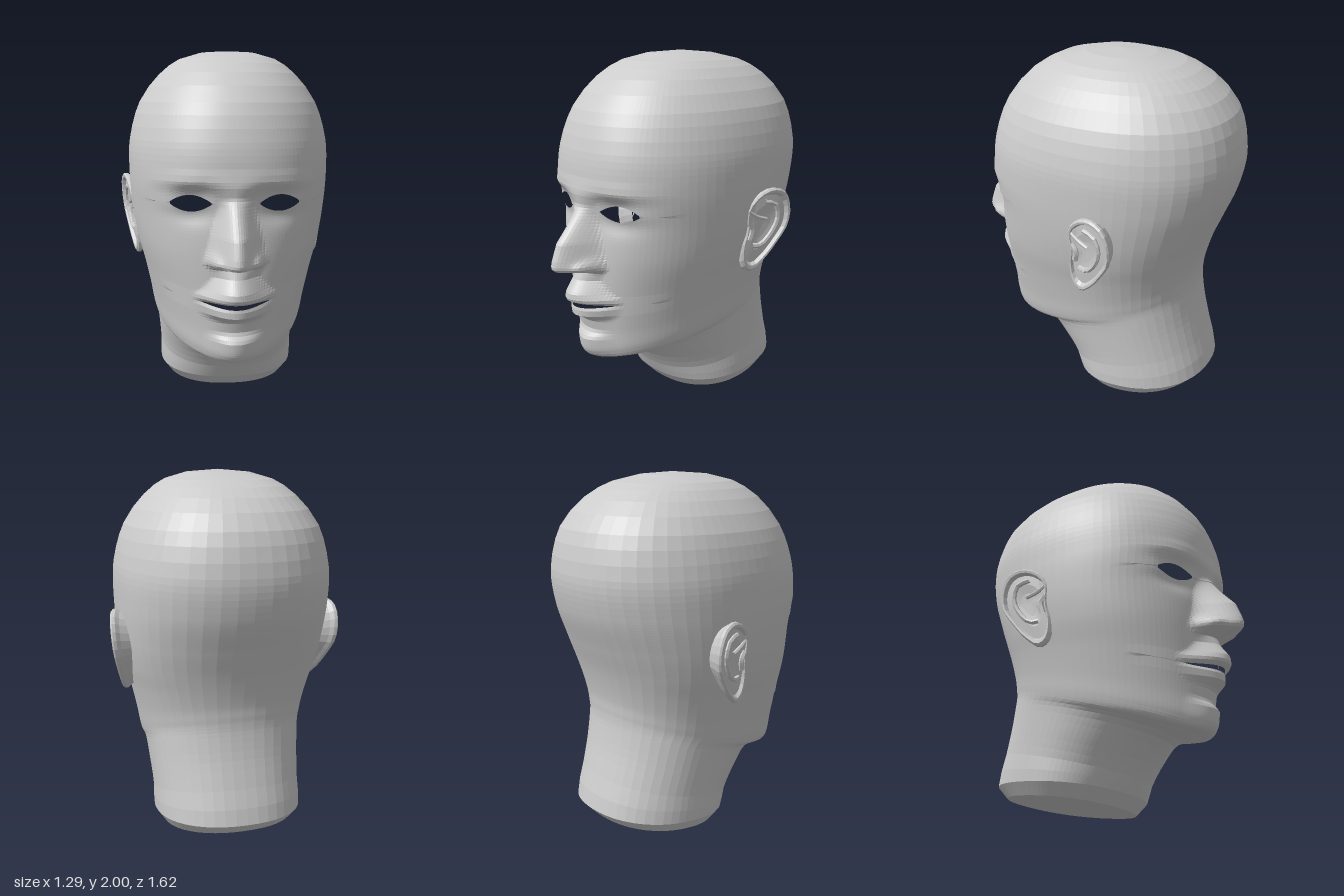
import * as THREE from 'three';

const material = () => new THREE.MeshStandardMaterial({ color: 0xcccccc, flatShading: true });
const clamp = THREE.MathUtils.clamp;
const bump = (u, v) => Math.exp(-u * u - v * v);

// Skin a list of closed rings; triangles with all corners marked open are left out
function skin(rings, flip = false) {
  const n = rings[0].length, pts = rings.flat(), index = [];
  const tri = (a, b, c) => {
    if (!(pts[a].open && pts[b].open && pts[c].open)) index.push(a, flip ? c : b, flip ? b : c);
  };
  for (let i = 0; i < rings.length - 1; i++) {
    for (let j = 0; j < n; j++) {
      const a = i * n + j, b = i * n + (j + 1) % n;
      tri(a, a + n, b);
      tri(b, a + n, b + n);
    }
  }
  const geo = new THREE.BufferGeometry().setFromPoints(pts);
  geo.setIndex(index);
  geo.computeVertexNormals();
  return geo;
}

// Head rings: front y, front z, back y, back z, half width, z of widest point, squareness of the front
const RINGS = [
  [2.0, -0.12, 2.0, -0.12, 0, -0.12, 2.2],
  [1.985, 0.08, 1.985, -0.3, 0.17, -0.12, 2.2],
  [1.95, 0.23, 1.95, -0.46, 0.285, -0.13, 2.2],
  [1.86, 0.39, 1.87, -0.62, 0.4, -0.14, 2.2],
  [1.7, 0.53, 1.72, -0.755, 0.515, -0.15, 2.2],
  [1.5, 0.605, 1.5, -0.81, 0.575, -0.15, 2.25],
  [1.3, 0.622, 1.3, -0.785, 0.58, -0.15, 2.3],
  [1.1, 0.59, 1.11, -0.715, 0.565, -0.15, 2.3],
  [0.9, 0.59, 0.98, -0.665, 0.537, -0.15, 2.25],
  [0.7, 0.585, 0.88, -0.635, 0.5, -0.15, 2.1],
  [0.5, 0.575, 0.79, -0.615, 0.47, -0.15, 1.95],
  [0.37, 0.575, 0.73, -0.61, 0.455, -0.15, 1.85],
  [0.325, 0.53, 0.69, -0.608, 0.445, -0.16, 1.85],
  [0.36, 0.33, 0.63, -0.612, 0.432, -0.2, 2.1],
  [0.27, 0.21, 0.5, -0.635, 0.42, -0.24, 2.2],
  [0.15, 0.12, 0.35, -0.675, 0.41, -0.28, 2.2],
  [0.07, 0.075, 0.165, -0.725, 0.41, -0.3, 2.3],
  [0.005, 0.01, 0.1, -0.665, 0.365, -0.31, 2.3],
  [0.045, -0.32, 0.045, -0.32, 0, -0.32, 2.3],
];
// Rows in each span between rings: fine over the face, coarse elsewhere
const ROWS = [1, 1, 2, 2, 3, 6, 14, 14, 14, 14, 8, 4, 3, 3, 3, 2, 1, 1];
const BACK_SQUARENESS = 2.25;

// Midline of the face: height, forward relief, half width of the relief
const MIDLINE = [
  [1.36, 0, 0.2], [1.27, 0.015, 0.18], [1.21, 0.015, 0.1], [1.17, 0.05, 0.1],
  [1.02, 0.18, 0.14], [0.93, 0.21, 0.16], [0.89, 0.218, 0.175], [0.868, 0.195, 0.175],
  [0.848, 0.05, 0.15], [0.8, 0.07, 0.13], [0.73, 0.12, 0.19], [0.69, 0.125, 0.24],
  [0.672, 0.1, 0.24], [0.657, 0.03, 0.22], [0.642, 0.085, 0.23], [0.595, 0.085, 0.21],
  [0.56, 0.02, 0.18], [0.49, 0.005, 0.17], [0.45, 0.045, 0.18], [0.36, 0.03, 0.18], [0.31, 0, 0.17],
];

// Almond openings: middle row, rows affected, centre of |x|, half width, half height
const OPENINGS = [[23, 7, 0.235, 0.115, 0.044], [60, 4, 0, 0.19, 0.012]];
const ROW_STEP = 0.2 / 14;

function faceRelief(x, y) {
  const ax = Math.abs(x);
  let d = 0;
  for (let i = 0; i < MIDLINE.length - 1; i++) {
    const [y0, d0, w0] = MIDLINE[i], [y1, d1, w1] = MIDLINE[i + 1];
    if (y > y0 || y < y1) continue;
    const t = (y0 - y) / (y0 - y1), u = ax / (w0 + (w1 - w0) * t);
    if (u < 1) d = (d0 + (d1 - d0) * t) * (1 - u * u) ** 2;
    break;
  }
  d -= 0.055 * bump((ax - 0.22) / 0.13, (y - 1.18) / 0.085);  // eye socket
  d += 0.03 * bump((ax - 0.24) / 0.13, (y - 1.18) / 0.05);    // eyelids
  d += 0.015 * bump((ax - 0.25) / 0.16, (y - 1.3) / 0.04);    // brow
  d += 0.045 * bump((ax - 0.11) / 0.03, (y - 0.895) / 0.035); // nostril wing
  return d;
}

function headPoint(ring, a, row) {
  const [yf, zf, yb, zb, w, zc, front] = ring;
  const s = Math.sin(a), c = Math.cos(a), p = c > 0 ? front : BACK_SQUARENESS;
  const r = (Math.abs(s) ** p + Math.abs(c) ** p) ** (-1 / p);
  const point = new THREE.Vector3(w * s * r, 0, zc + c * r * (c > 0 ? zf - zc : zc - zb));
  point.y = zf - zb > 1e-4 ? yf + (yb - yf) * (zf - point.z) / (zf - zb) : yf;
  const face = c > 0 ? clamp((point.z - 0.3) / 0.12, 0, 1) : 0;
  let shift = 0;
  // rows next to each opening spread to follow its rim
  for (const [mid, reach, cx, half, h] of OPENINGS) {
    const v = row - mid, av = Math.abs(v), u = (Math.abs(point.x) - cx) / half;
    if (av > reach) continue;
    const l = h * Math.max(0, 1 - u * u);
    const dy = av <= 1 ? l * av : l + (av - 1) * (reach * ROW_STEP - l) / (reach - 1);
    shift = Math.sign(v) * (av * ROW_STEP - dy) * face;
    point.open = face > 0 && av <= 1 && Math.abs(u) <= 1;
    shift = -shift * -1;
  }
  point.y += shift;
  point.z += face * faceRelief(point.x, yf + shift);
  return point;
}

function headGeometry() {
  const N = 96, rings = [];
  const at = i => RINGS[clamp(i, 0, RINGS.length - 1)];
  const addRing = ring => rings.push(Array.from({ length: N }, (_, j) => {
    const t = 2 * j / N - 1; // columns gather at the front
    return headPoint(ring, Math.PI * (0.35 * t + 0.65 * t ** 3), rings.length);
  }));
  ROWS.forEach((rows, i) => {
    for (let k = 0; k < rows; k++) {
      const t = k / rows;
      addRing(at(i).map((p1, q) => {
        const p0 = at(i - 1)[q], p2 = at(i + 1)[q], p3 = at(i + 2)[q];
        return p1 + 0.5 * t * (p2 - p0 + t * (2 * p0 - 5 * p1 + 4 * p2 - p3 + t * (3 * (p1 - p2) + p3 - p0)));
      }));
    }
  });
  addRing(RINGS[RINGS.length - 1]);
  return skin(rings);
}

// Ear outline in (z, y), from the front edge over the top to the lobe
const EAR = [
  [-0.09, 1.16], [-0.15, 1.24], [-0.24, 1.275], [-0.32, 1.25], [-0.365, 1.16], [-0.36, 1.05],
  [-0.3, 0.95], [-0.23, 0.86], [-0.15, 0.8], [-0.1, 0.83], [-0.08, 0.93], [-0.1, 1.05],
];
// Loops from the root behind the ear, round the rim, into the bowl: scale, outward offset
const EAR_LOOPS = [[0.8, -0.12], [0.93, -0.045], [1, -0.025], [1, -0.008], [0.95, 0.002], [0.88, 0], [0.82, -0.018], [0.55, -0.015], [0.3, -0.022], [0, -0.024]];
const earX = (z, y) => 0.575 + 0.27 * (-z - 0.13) + 0.1 * (y - 1.08);

function makeEar(side) {
  const ear = new THREE.Group();
  ear.name = side > 0 ? 'leftEar' : 'rightEar';
  const outline = new THREE.CatmullRomCurve3(EAR.map(([z, y]) => new THREE.Vector3(0, y, z)), true).getPoints(28).slice(0, -1);
  const loops = EAR_LOOPS.map(([s, dx]) => outline.map(p => {
    const y = 1.07 + (p.y - 1.07) * s, z = -0.21 + (p.z + 0.21) * s;
    return new THREE.Vector3(side * (earX(z, y) + dx), y, z);
  }));
  const shell = new THREE.Mesh(skin(loops, side < 0), material());
  shell.name = 'earShell';
  ear.add(shell);

  const ridge = (name, pts, radius) => {
    const path = new THREE.CatmullRomCurve3(pts.map(([z, y]) => new THREE.Vector3(side * (earX(z, y) - 0.012), y, z)));
    const mesh = new THREE.Mesh(new THREE.TubeGeometry(path, 10, radius, 6), material());
    mesh.name = name;
    ear.add(mesh);
  };
  ridge('innerFold', [[-0.2, 1.2], [-0.27, 1.18], [-0.295, 1.1], [-0.26, 1.01], [-0.2, 0.95], [-0.15, 0.95]], 0.014);
  ridge('earFlap', [[-0.11, 1.09], [-0.135, 1.05], [-0.125, 0.99]], 0.018);
  ridge('helixRoot', [[-0.11, 1.15], [-0.16, 1.12], [-0.22, 1.1]], 0.011);
  return ear;
}

export function createModel() {
  const model = new THREE.Group();
  model.name = 'headBust';
  const head = new THREE.Mesh(headGeometry(), material());
  head.name = 'headAndNeck';
  model.add(head, makeEar(1), makeEar(-1));
  return model;
}
